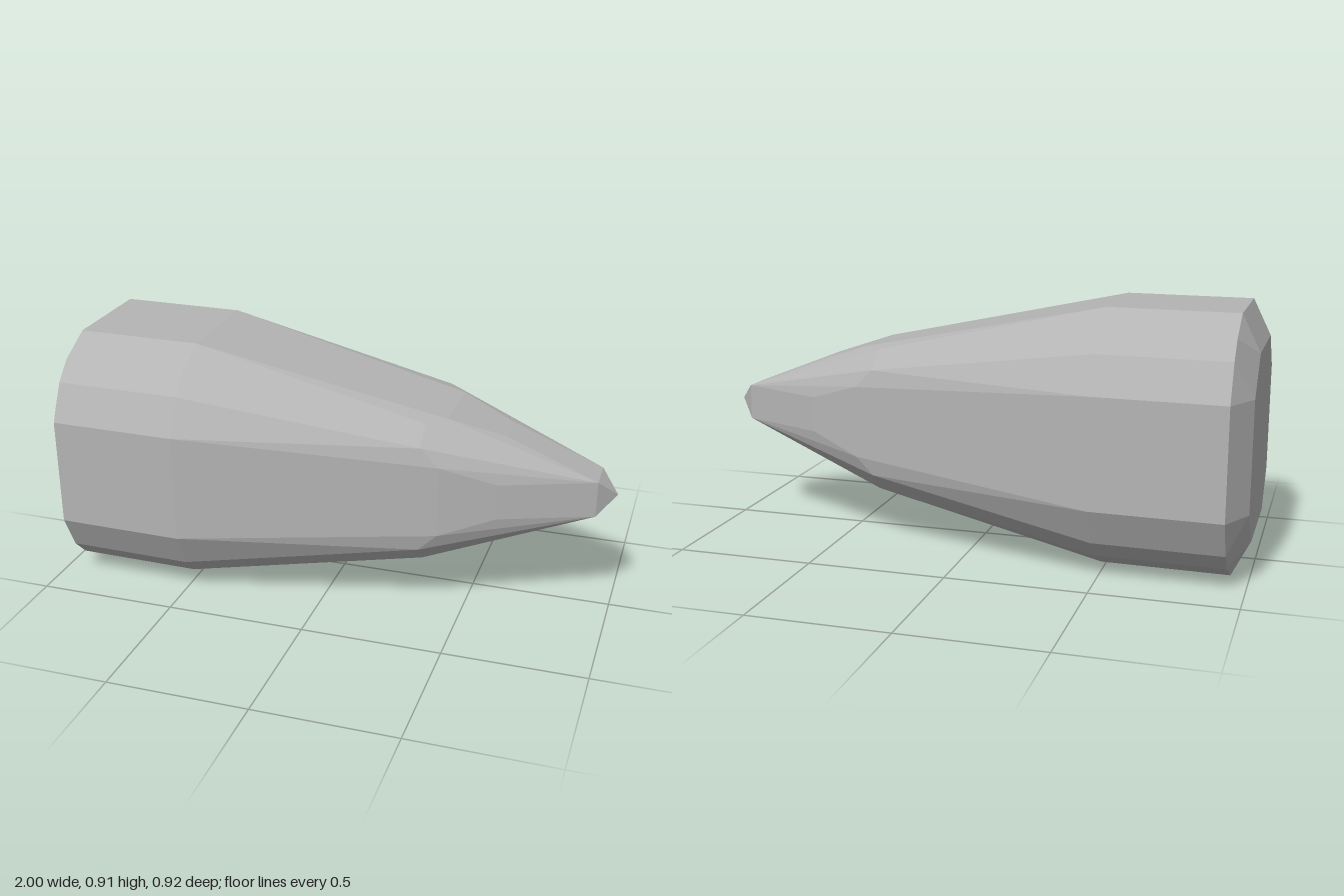
import * as THREE from 'three';
import { ConvexGeometry } from 'three/addons/geometries/ConvexGeometry.js';

const UNIT = 2 / 31; // facet grid step along and across the body

// Cross-section corners: station along the length (in units from the base),
// then one octant of (across, up) offsets that is mirrored all round.
const SECTIONS = [
  [0, [[5, 3]]],                  // base cap
  [1, [[7, 3], [6, 5]]],          // base rim
  [8, [[7, 3], [6, 5]]],          // shoulder
  [21, [[4, 3]]],                 // ogive corners
  [22, [[4, 2], [3, 3]]],
  [25, [[3, 1]]],                 // nose
  [30, [[1, 1]]],                 // tip collar
  [31, [[0, 0]]],                 // point
];

// Place a grid corner in space, with the body's slight yaw and roll.
function place(station, across, up) {
  const x = -1 + station * UNIT;
  const y = up * UNIT;
  const z = across * UNIT;
  return new THREE.Vector3(x, 0.4525 + y - 0.0115 * z, z + 0.0115 * y + 0.0195 * x + 0.0105);
}

// Mirror an octant point to every distinct position round the axis.
function mirrored([a, b]) {
  const unique = new Map();
  for (const [p, q] of [[a, b], [b, a]])
    for (const s of [1, -1])
      for (const t of [1, -1]) unique.set(`${p * s + 0},${q * t + 0}`, [p * s, q * t]);
  return [...unique.values()];
}

export function createModel() {
  const grey = new THREE.MeshStandardMaterial({ color: 0xb4b4b4 });
  grey.name = 'grey metal';

  const corners = [];
  for (const [station, octant] of SECTIONS)
    for (const point of octant)
      for (const [across, up] of mirrored(point)) corners.push(place(station, across, up));

  // Faceted skin stretched over the sections
  const body = new THREE.Mesh(new ConvexGeometry(corners), grey);
  body.name = 'taperedBody';

  const model = new THREE.Group();
  model.name = 'facetedSlug';
  model.add(body);
  return model;
}
